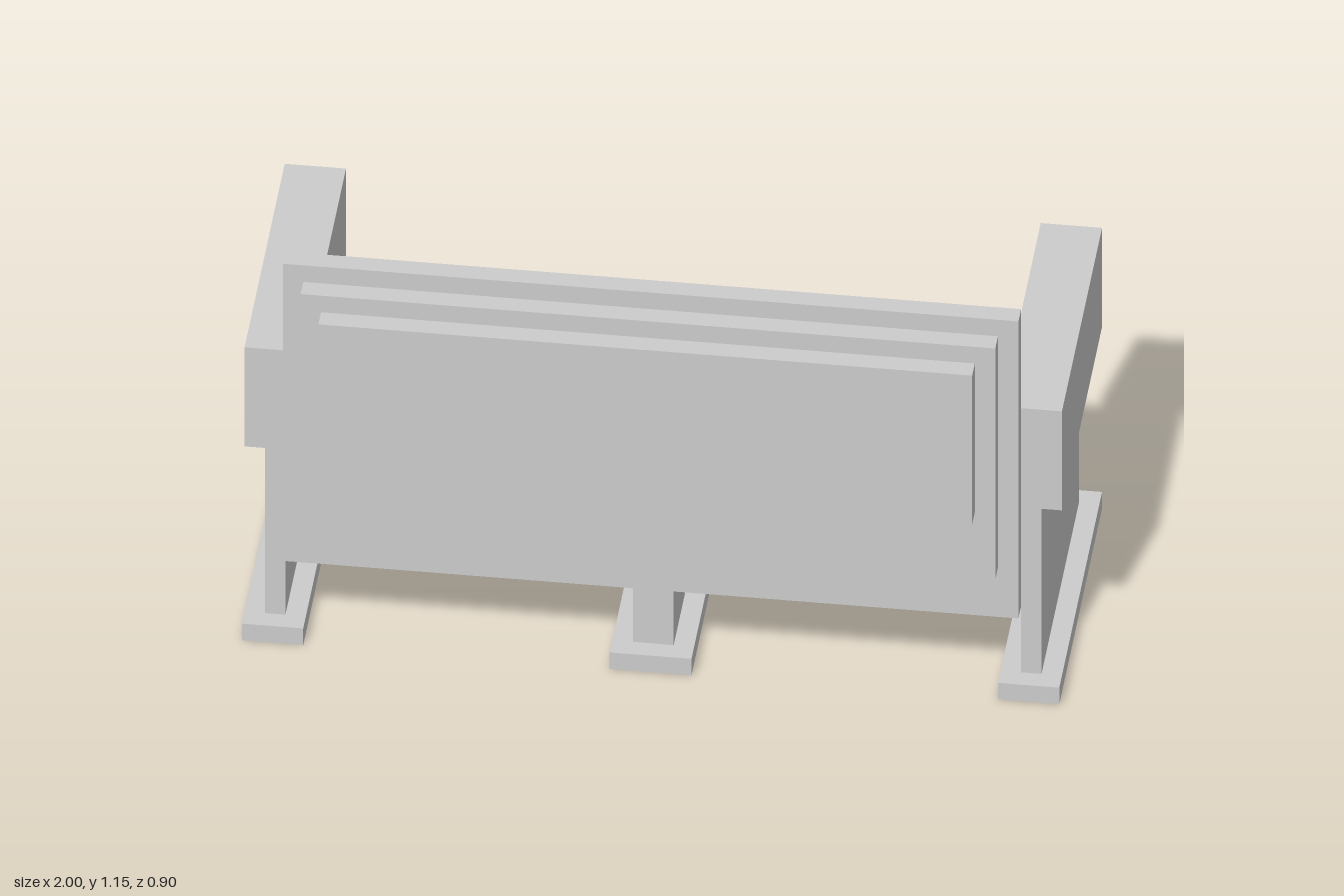
import * as THREE from 'three';

const material = new THREE.MeshStandardMaterial({ color: 0xcccccc, flatShading: true });

// Box given by its minimum and maximum along each axis
function block(name, [x0, x1], [y0, y1], [z0, z1]) {
  const mesh = new THREE.Mesh(new THREE.BoxGeometry(x1 - x0, y1 - y0, z1 - z0), material);
  mesh.position.set((x0 + x1) / 2, (y0 + y1) / 2, (z0 + z1) / 2);
  mesh.name = name;
  return mesh;
}

// Span shrunk by d at both ends
const inset = ([a, b], d) => [a + d, b - d];

export function createModel() {
  const bench = new THREE.Group();
  bench.name = 'bench';

  // Three upright supports on flat feet
  const supports = [
    ['right', [-0.95, -0.9], [-1, -0.85], 0.55],
    ['middle', [-0.05, 0.05], [-0.1, 0.1], 0.45],
    ['left', [0.9, 0.95], [0.85, 1], 0.55],
  ];
  for (const [side, post, foot, top] of supports) {
    bench.add(block(side + 'Support', post, [0.05, top], [-0.4, 0.3]));
    bench.add(block(side + 'Foot', foot, [0, 0.05], [-0.45, 0.35]));
  }

  // Armrests
  bench.add(block('rightArmrest', [-1, -0.85], [0.55, 0.85], [-0.45, 0.3]));
  bench.add(block('leftArmrest', [0.85, 1], [0.55, 0.85], [-0.45, 0.3]));

  // Seat board with a lower rail along its open edge
  bench.add(block('seatBoard', [-0.9, 0.9], [0.45, 0.55], [-0.4, 0.3]));
  bench.add(block('seatRail', [-0.9, 0.9], [0.4, 0.5], [-0.45, -0.4]));

  // Backrest board with two stepped outer panels
  bench.add(block('backBoard', [-0.9, 0.9], [0.25, 1.15], [0.3, 0.35]));
  bench.add(block('backPanel', [-0.85, 0.85], [0.4, 1.1], [0.35, 0.4]));
  bench.add(block('backInsetPanel', [-0.8, 0.8], [0.6, 1.05], [0.4, 0.45]));

  // Two-step seat and back cushions for each place
  for (const place of [[-0.85, -0.3], [-0.25, 0.25], [0.3, 0.85]]) {
    const narrow = inset(place, 0.05);
    bench.add(block('seatCushion', place, [0.55, 0.6], [-0.35, 0.3]));
    bench.add(block('seatCushionTop', narrow, [0.6, 0.65], [-0.3, 0.15]));
    bench.add(block('backCushion', place, [0.6, 1.1], [0.25, 0.3]));
    bench.add(block('backCushionFace', narrow, [0.65, 1.05], [0.2, 0.25]));
  }
  return bench;
}
